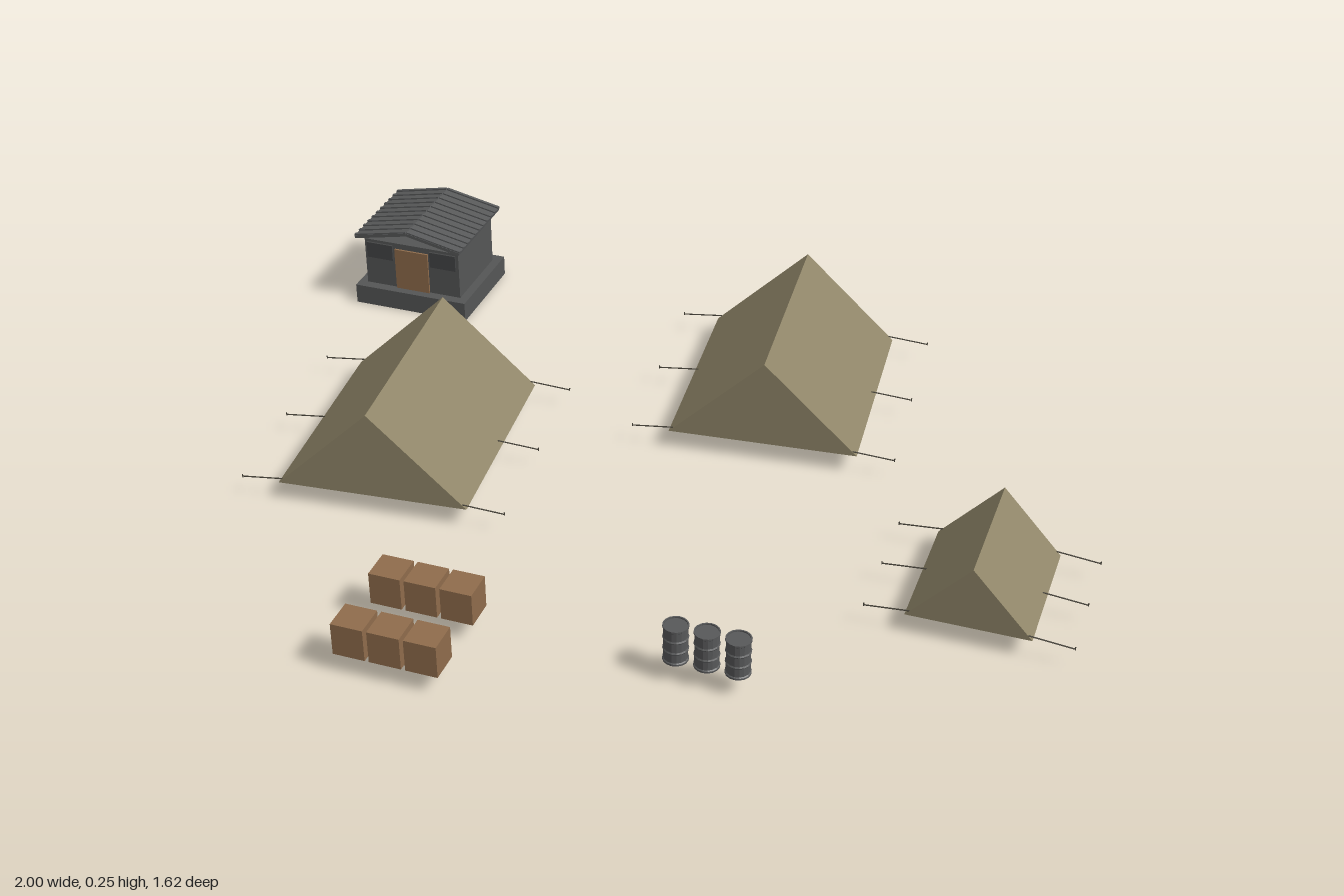
import * as THREE from 'three';

const mat = (name, color) => {
  const m = new THREE.MeshStandardMaterial({ color });
  m.name = name;
  return m;
};

export function createModel() {
  const canvas = mat('canvas', 0x8f8568);
  const wood = mat('wood', 0x8f6c4c);
  const concrete = mat('concrete', 0x555656);
  const metal = mat('metal', 0x58595a);
  const dark = mat('dark', 0x444546);
  const rope = mat('rope', 0x4a463c);
  const root = new THREE.Group();
  root.name = 'camp';
  const GROUND = 0.045;

  const add = (parent, name, geo, material, x = 0, y = 0, z = 0) => {
    const m = new THREE.Mesh(geo, material);
    m.name = name;
    m.position.set(x, y, z);
    parent.add(m);
    return m;
  };
  const group = (name, x, y, z) => {
    const g = new THREE.Group();
    g.name = name;
    g.position.set(x, y, z);
    root.add(g);
    return g;
  };

  // Ridge tents with guy ropes and pegs
  function tent(name, x, z, w, h, len, angle) {
    const g = group(name, x, GROUND, z);
    g.rotation.y = angle;
    const s = new THREE.Shape([
      new THREE.Vector2(-w / 2, 0), new THREE.Vector2(w / 2, 0), new THREE.Vector2(0, h),
    ]);
    const geo = new THREE.ExtrudeGeometry(s, { depth: len, bevelEnabled: false });
    add(g, 'tentCanvas', geo, canvas, 0, 0, -len / 2);
    for (const side of [-1, 1]) {
      for (const t of [-1, 0, 1]) {
        const zr = t * (len / 2 - 0.002);
        const path = new THREE.LineCurve3(
          new THREE.Vector3(side * (w / 2 - 0.01), 0.01, zr),
          new THREE.Vector3(side * (w / 2 + 0.087), 0.001, zr));
        add(g, 'guyRope', new THREE.TubeGeometry(path, 1, 0.0015, 5), rope);
        add(g, 'peg', new THREE.CylinderGeometry(0.0015, 0.001, 0.008, 5), rope,
          side * (w / 2 + 0.086), 0.002, zr);
      }
    }
  }
  tent('leftTent', -0.586, 0.021, 0.437, 0.21, 0.525, 0.093);
  tent('middleTent', 0.163, -0.461, 0.437, 0.21, 0.525, 0.093);
  tent('smallTent', 0.777, 0.153, 0.264, 0.145, 0.305, 0);

  // Two rows of wooden crates
  for (const z of [0.595, 0.77]) {
    for (const x of [-0.364, -0.285, -0.206]) {
      add(root, 'crate', new THREE.BoxGeometry(0.07, 0.075, 0.07), wood, x, GROUND + 0.0375, z);
    }
  }

  // Ribbed drums
  const profile = [
    [0, 0], [0.027, 0], [0.027, 0.004], [0.025, 0.006], [0.025, 0.026], [0.027, 0.029],
    [0.025, 0.032], [0.025, 0.053], [0.027, 0.056], [0.025, 0.059], [0.025, 0.079],
    [0.027, 0.081], [0.027, 0.085], [0.024, 0.085], [0.024, 0.082], [0, 0.082],
  ].map(([r, y]) => new THREE.Vector2(r, y));
  const drum = new THREE.LatheGeometry(profile, 16).toNonIndexed();
  drum.computeVertexNormals();
  for (const x of [0.25, 0.315, 0.38]) add(root, 'drum', drum, metal, x, GROUND, 0.592);

  // Guard hut on a slab
  const hut = group('hut', -0.85, 0, -0.68);
  add(hut, 'slab', new THREE.BoxGeometry(0.3, 0.05, 0.26), concrete, 0, 0.025, 0);
  add(hut, 'walls', new THREE.BoxGeometry(0.256, 0.125, 0.21), concrete, 0, 0.1125, 0);
  add(hut, 'door', new THREE.BoxGeometry(0.09, 0.11, 0.008), wood, 0, 0.105, 0.106);
  for (const side of [-1, 1]) {
    add(hut, 'window', new THREE.BoxGeometry(0.07, 0.042, 0.008), dark, side * 0.086, 0.147, 0.106);
  }

  // Pitched sheet roof with raised seams
  const slope = Math.atan2(0.03, 0.142);
  const run = Math.hypot(0.03, 0.142);
  for (const side of [-1, 1]) {
    const half = new THREE.Group();
    half.name = 'roofHalf';
    half.position.set(side * 0.071, 0.204, 0);
    half.rotation.z = -side * slope;
    hut.add(half);
    add(half, 'roofSheet', new THREE.BoxGeometry(run, 0.008, 0.26), metal);
    for (let i = 0; i < 11; i++) {
      add(half, 'roofSeam', new THREE.BoxGeometry(run, 0.004, 0.008), metal,
        0, 0.0055, -0.125 + i * 0.025);
    }
  }
  return root;
}
